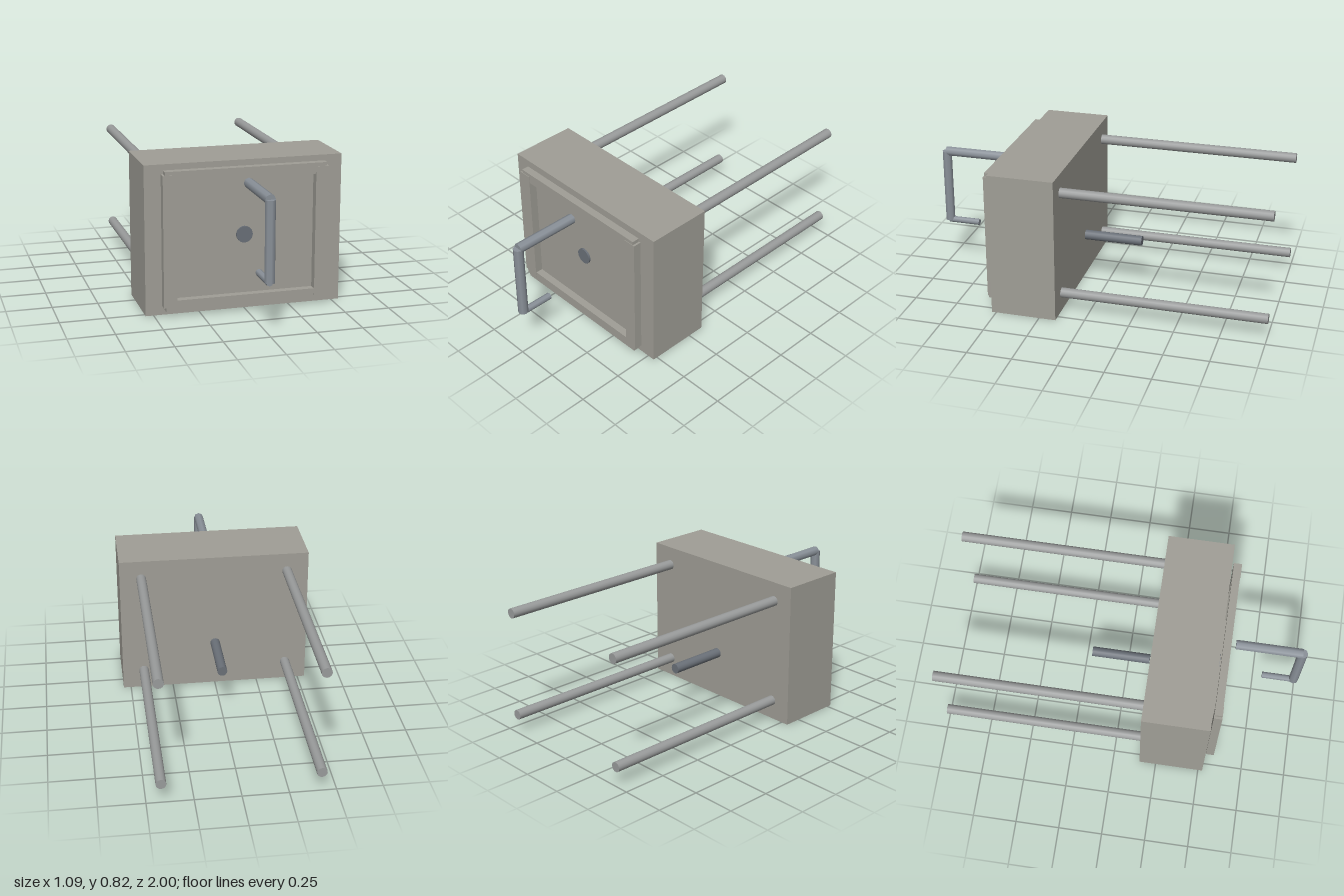
import * as THREE from 'three';

const mat = (color) => new THREE.MeshStandardMaterial({ color });

export function createModel() {
  const model = new THREE.Group();
  const bodyMat = mat(0xa09e96), rodMat = mat(0x999b9b);
  const handleMat = mat(0x8a9199), darkMat = mat(0x6a7078);

  const add = (name, geometry, material, x, y, z) => {
    const mesh = new THREE.Mesh(geometry, material);
    mesh.name = name;
    mesh.position.set(x, y, z);
    model.add(mesh);
    return mesh;
  };
  const box = (name, x0, x1, y0, y1, z0, z1) =>
    add(name, new THREE.BoxGeometry(x1 - x0, y1 - y0, z1 - z0), bodyMat,
      (x0 + x1) / 2, (y0 + y1) / 2, (z0 + z1) / 2);
  // Cylinder lying along z
  const rod = (name, r, x, y, z0, z1, sides, material) => {
    const g = new THREE.CylinderGeometry(r, r, z1 - z0, sides).rotateX(Math.PI / 2);
    return add(name, g, material, x, y, (z0 + z1) / 2);
  };

  // Main block
  box('body', -0.543, 0.543, 0, 0.82, 0.155, 0.525);

  // Raised frame of four bars on the front
  box('frameTop', -0.443, 0.443, 0.73, 0.79, 0.535, 0.577);
  box('frameBottom', -0.443, 0.443, 0.032, 0.09, 0.535, 0.577);
  for (const s of [-1, 1]) {
    const a = 0.382 * s, b = 0.455 * s;
    box('frameSide', Math.min(a, b), Math.max(a, b), 0.052, 0.77, 0.534, 0.58);
  }

  // Round button in the middle of the front face
  rod('button', 0.045, 0, 0.413, 0.515, 0.536, 24, darkMat);

  // Four long rods at the back
  for (const x of [-0.42, 0.42])
    for (const y of [0.112, 0.713]) rod('backRod', 0.028, x, y, -1, 0.157, 16, rodMat);

  // Short loose pin behind the block
  rod('pin', 0.028, 0, 0.28, -0.2, 0.135, 16, darkMat);

  // Hook-shaped handle in front
  rod('handleTop', 0.028, 0, 0.712, 0.605, 0.973, 8, handleMat);
  rod('handleBottom', 0.019, 0, 0.28, 0.79, 0.973, 8, handleMat);
  add('handleGrip', new THREE.CylinderGeometry(0.028, 0.028, 0.432, 8), handleMat, 0, 0.496, 0.972);

  return model;
}
